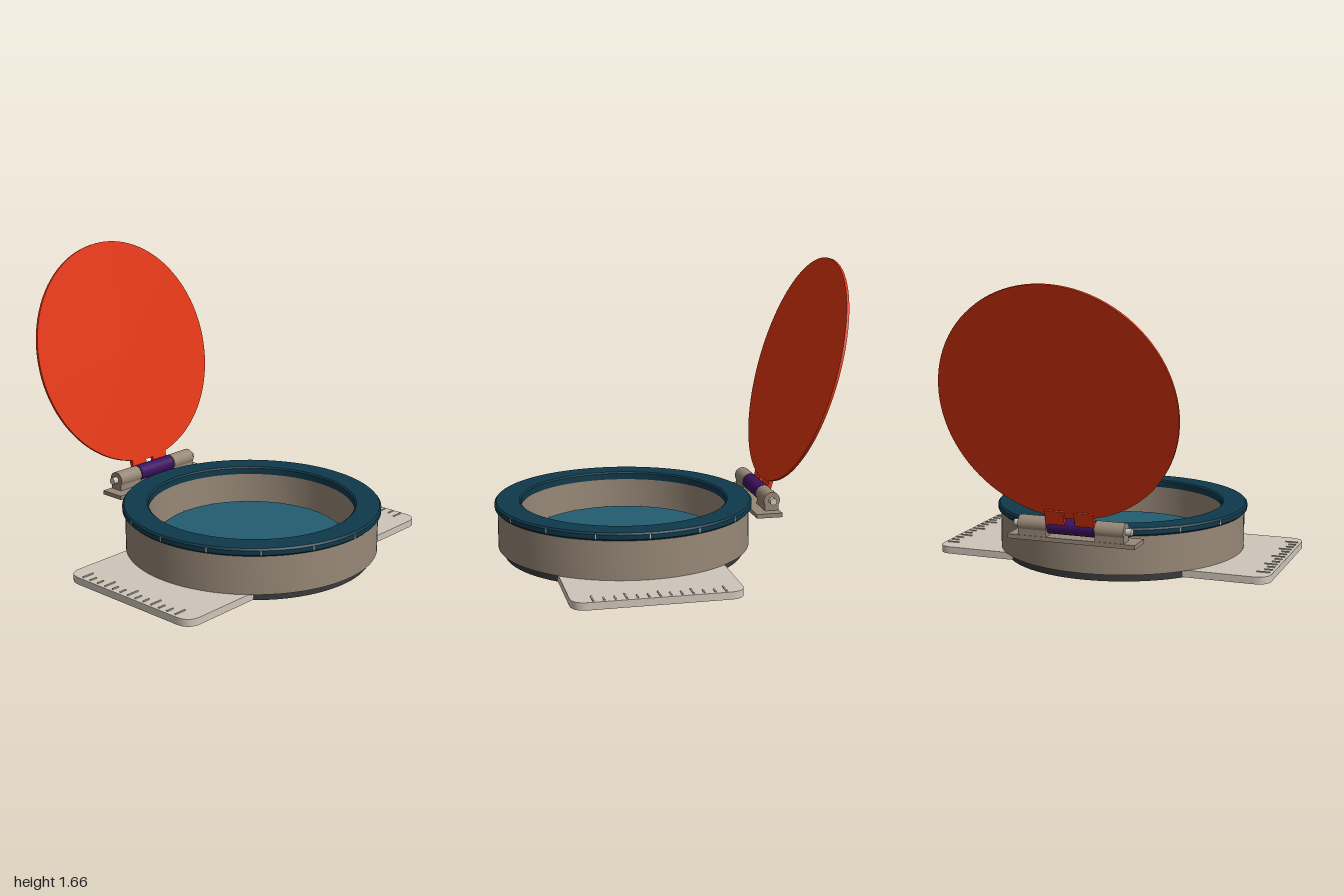
import * as THREE from 'three';
import { toCreasedNormals } from 'three/addons/utils/BufferGeometryUtils.js';

const mat = (name, color) => {
  const m = new THREE.MeshStandardMaterial({ color });
  m.name = name;
  return m;
};

export function createModel() {
  const model = new THREE.Group();
  model.name = 'hingedRoundCase';
  const M = {
    stone: mat('pale stone', 0xcfc6ba),
    taupe: mat('taupe', 0x978877),
    navy: mat('dark teal', 0x0f394b),
    teal: mat('teal', 0x235d6f),
    orange: mat('orange red', 0xe0340f),
    red: mat('red', 0xb82020),
    grey: mat('grey', 0x808080),
    charcoal: mat('charcoal', 0x3a3a3c),
    purple: mat('purple', 0x3d1160),
  };
  const CZ = 0.24; // z of the round body's axis

  const add = (name, geo, material, x = 0, y = 0, z = 0, parent = model) => {
    const mesh = new THREE.Mesh(geo, material);
    mesh.name = name;
    mesh.position.set(x, y, z);
    parent.add(mesh);
    return mesh;
  };
  // Closed profile of [radius, height], anticlockwise, turned about the body axis
  const turned = (name, profile, material) => {
    const pts = [...profile, profile[0]].map(([r, y]) => new THREE.Vector2(r, y));
    const geo = toCreasedNormals(new THREE.LatheGeometry(pts, 96), 0.6);
    return add(name, geo, material, 0, 0, CZ);
  };
  const band = (name, r0, r1, y0, y1, material) =>
    turned(name, [[r1, y0], [r1, y1], [r0, y1], [r0, y0]], material);
  const cylX = (r, length, sides = 32) =>
    new THREE.CylinderGeometry(r, r, length, sides).rotateZ(Math.PI / 2);

  // Base plate with rounded corners
  const w = 1, z0 = -0.215, z1 = 0.70, c = 0.09;
  const s = new THREE.Shape();
  s.moveTo(-w + c, -z1);
  s.lineTo(w - c, -z1);
  s.quadraticCurveTo(w, -z1, w, -z1 + c);
  s.lineTo(w, -z0 - c);
  s.quadraticCurveTo(w, -z0, w - c, -z0);
  s.lineTo(-w + c, -z0);
  s.quadraticCurveTo(-w, -z0, -w, -z0 - c);
  s.lineTo(-w, -z1 + c);
  s.quadraticCurveTo(-w, -z1, -w + c, -z1);
  const plate = new THREE.ExtrudeGeometry(s, { depth: 0.041, bevelEnabled: false, curveSegments: 10 });
  plate.rotateX(-Math.PI / 2);
  add('basePlate', toCreasedNormals(plate, 0.6), M.stone, 0, 0.003, 0);

  // Raised scale marks along both ends of the plate
  for (const side of [-1, 1]) {
    for (let i = 0; i < 13; i++) {
      const len = i % 3 === 0 ? 0.075 : 0.045;
      add('scaleMark', new THREE.BoxGeometry(len, 0.006, 0.008), M.stone,
        side * (0.985 - len / 2), 0.047, CZ + (i - 6) * 0.058);
    }
  }

  // Round foot, body wall and floor
  add('foot', new THREE.CylinderGeometry(0.685, 0.685, 0.05, 96), M.charcoal, 0, 0.025, CZ);
  band('bodyWall', 0.59, 0.72, 0.046, 0.27, M.taupe);
  band('innerSeal', 0.53, 0.592, 0.045, 0.065, M.red);
  band('sealWire', 0.543, 0.562, 0.06, 0.085, M.grey);
  add('innerDisc', new THREE.CylinderGeometry(0.53, 0.53, 0.065, 96), M.teal, 0, 0.0775, CZ);

  // Rim with softened outer edges
  turned('rim', [[0.725, 0.265], [0.736, 0.275], [0.736, 0.3], [0.727, 0.31],
    [0.597, 0.31], [0.587, 0.302], [0.587, 0.265]], M.navy);

  // Marks around the rim and the inner disc
  for (let i = 0; i < 16; i++) {
    const a = (i / 16) * Math.PI * 2;
    const mark = add('rimMark', new THREE.BoxGeometry(0.006, 0.028, 0.004), M.stone,
      0.736 * Math.sin(a), 0.288, CZ + 0.736 * Math.cos(a));
    mark.rotation.y = a;
    const dot = add('discMark', new THREE.BoxGeometry(0.01, 0.006, 0.008), M.stone,
      0.532 * Math.sin(a), 0.109, CZ + 0.532 * Math.cos(a));
    dot.rotation.y = a;
  }

  // Hinge: shelf, two fixed knuckles on pedestals, middle knuckle and pin
  const HY = 0.322, HZ = -0.556;
  add('hingeShelf', new THREE.BoxGeometry(0.74, 0.024, 0.15), M.taupe, 0, 0.251, -0.525);
  for (const side of [-1, 1]) {
    add('fixedKnuckle', cylX(0.047, 0.165), M.taupe, side * 0.2235, HY, HZ);
    add('knucklePedestal', new THREE.BoxGeometry(0.165, 0.06, 0.08), M.taupe, side * 0.2235, 0.29, HZ);
  }
  add('lidKnuckle', cylX(0.046, 0.268), M.purple, 0, HY, HZ);
  add('hingePin', cylX(0.02, 0.68, 12), M.stone, 0, HY, HZ);

  // Open lid, leaning back, with two tabs down to the hinge
  const lid = new THREE.Group();
  lid.name = 'lid';
  lid.position.set(0, 1.017, -0.782);
  lid.rotation.x = -0.292;
  model.add(lid);
  add('lidDisc', new THREE.CylinderGeometry(0.667, 0.667, 0.015, 96).rotateX(Math.PI / 2),
    M.orange, 0, 0, 0, lid);
  for (const side of [-1, 1]) {
    add('lidTab', new THREE.BoxGeometry(0.11, 0.105, 0.024), M.orange, side * 0.085, -0.675, -0.008, lid);
  }
  add('tabBridge', new THREE.BoxGeometry(0.28, 0.03, 0.015), M.orange, 0, -0.645, 0, lid);

  return model;
}
